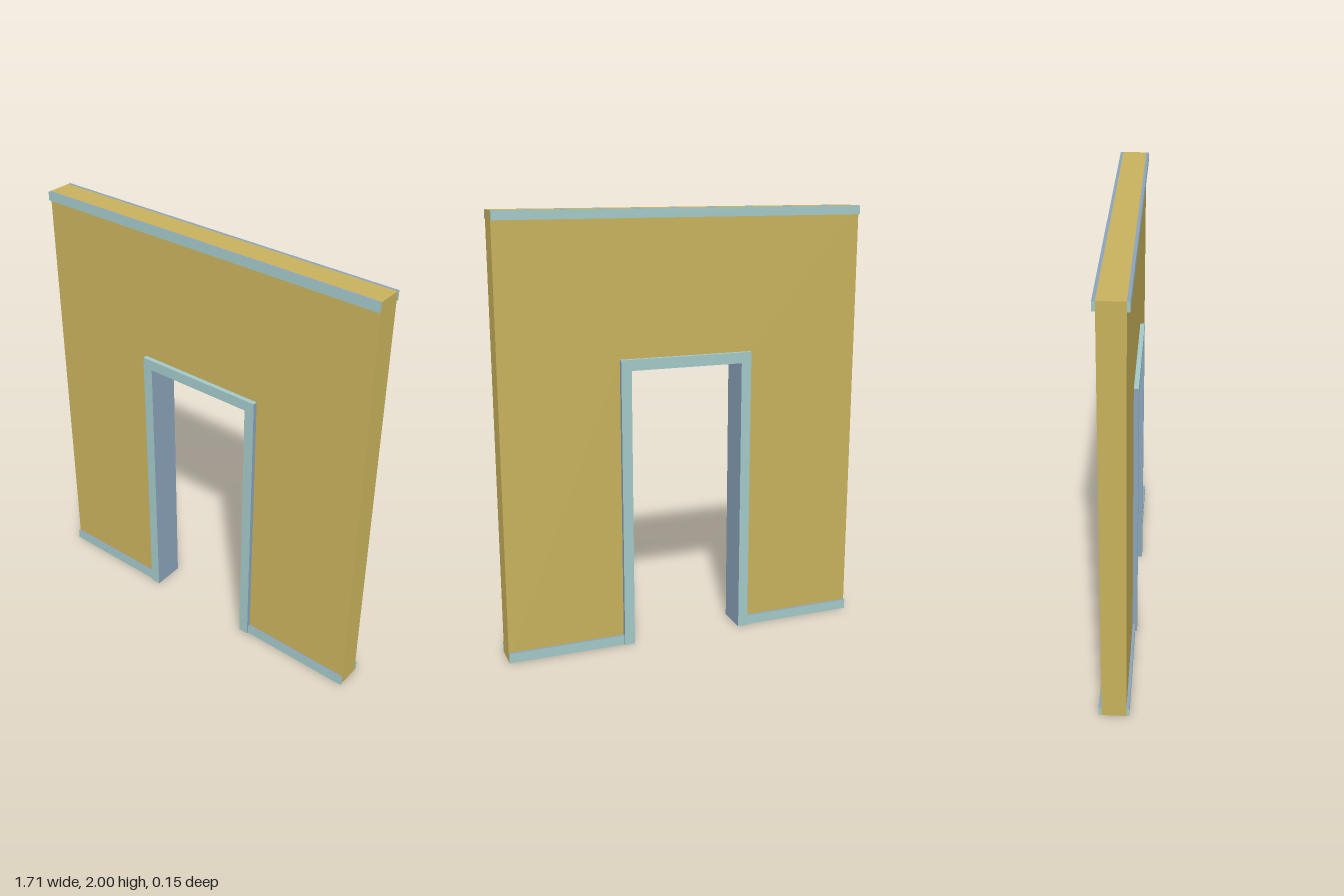
import * as THREE from 'three';

export function createModel() {
  const model = new THREE.Group();
  const mat = (name, color) => {
    const m = new THREE.MeshStandardMaterial({ color });
    m.name = name;
    return m;
  };
  const tan = mat('wallTan', 0xc8b15c);
  const teal = mat('trimTeal', 0xa3c8c8);
  const blue = mat('trimBlueGrey', 0x8aa3ba);

  const W = 0.857, H = 2;                // wall half width, height
  const IN = 0.265, OUT = 0.313;         // door frame inner and outer half width
  const HEAD = 1.3, FRAME_TOP = 1.35;    // opening height, frame height
  const WALL_Z = 0.055, TRIM_Z = 0.068, FRAME_Z = 0.076; // half depths

  // box given by its min and max corners
  function box(name, x0, x1, y0, y1, z0, z1, material) {
    const mesh = new THREE.Mesh(new THREE.BoxGeometry(x1 - x0, y1 - y0, z1 - z0), material);
    mesh.position.set((x0 + x1) / 2, (y0 + y1) / 2, (z0 + z1) / 2);
    mesh.name = name;
    model.add(mesh);
  }

  // wall slab with the doorway notched out
  const outline = [[-W, 0], [-OUT, 0], [-OUT, FRAME_TOP], [OUT, FRAME_TOP], [OUT, 0], [W, 0], [W, H], [-W, H]];
  const shape = new THREE.Shape(outline.map(([x, y]) => new THREE.Vector2(x, y)));
  const wallGeometry = new THREE.ExtrudeGeometry(shape, { depth: 2 * WALL_Z, bevelEnabled: false });
  wallGeometry.translate(0, 0, -WALL_Z);
  const wall = new THREE.Mesh(wallGeometry, tan);
  wall.name = 'wall';
  model.add(wall);

  // box faces run +x, -x, +y, -y, +z, -z
  const jambMats = [blue, blue, teal, teal, teal, teal];
  const trimMats = [teal, teal, blue, teal, teal, teal];

  // door frame: two jambs and a header with blue-grey sides
  box('leftJamb', IN, OUT, 0, HEAD, -FRAME_Z, FRAME_Z, jambMats);
  box('rightJamb', -OUT, -IN, 0, HEAD, -FRAME_Z, FRAME_Z, jambMats);
  box('doorHeader', -OUT, OUT, HEAD, FRAME_TOP, -FRAME_Z, FRAME_Z, jambMats);

  // top moulding and baseboards on both faces of the wall
  for (const [side, z0, z1] of [['front', WALL_Z, TRIM_Z], ['back', -TRIM_Z, -WALL_Z]]) {
    box(side + 'TopMoulding', -W, W, 1.96, H, z0, z1, trimMats);
    box(side + 'LeftBaseboard', OUT, W, 0, 0.045, z0, z1, trimMats);
    box(side + 'RightBaseboard', -W, -OUT, 0, 0.045, z0, z1, trimMats);
  }
  return model;
}
